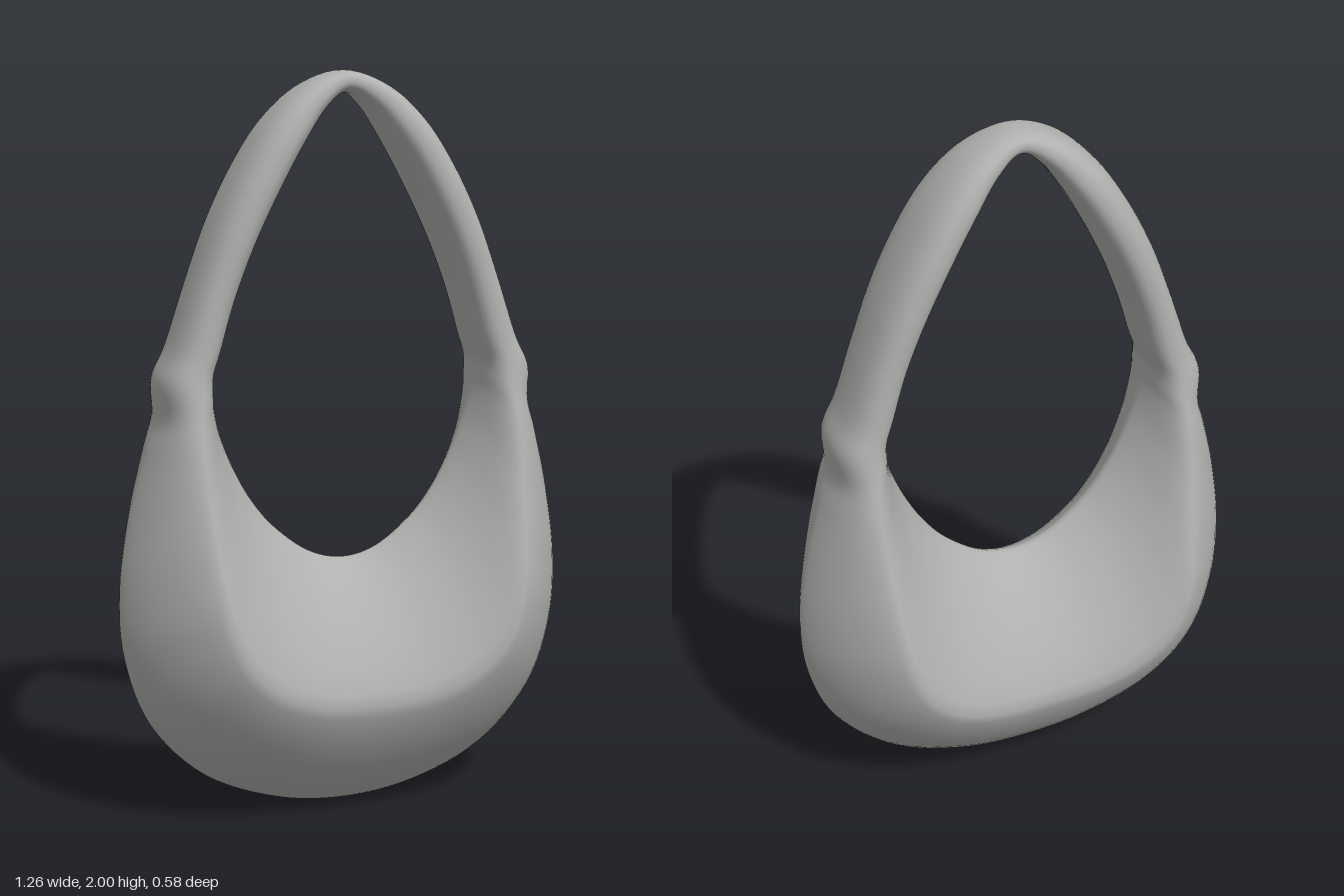
import * as THREE from 'three';

// Half of the bag, bottom centre to strap top:
// outer x, y, ridge x, y, half depth, inner x, y, roundness
const stations = [
  [0, 0.005, 0, 0.34, 0.27, 0, 0.69, 0],
  [0.2, 0.03, 0.15, 0.35, 0.275, 0.1, 0.715, 0],
  [0.4, 0.115, 0.28, 0.4, 0.285, 0.2, 0.79, 0],
  [0.55, 0.27, 0.37, 0.49, 0.29, 0.265, 0.87, 0],
  [0.62, 0.46, 0.42, 0.62, 0.275, 0.31, 0.95, 0],
  [0.63, 0.65, 0.44, 0.77, 0.235, 0.34, 1.02, 0.05],
  [0.6, 0.85, 0.45, 0.91, 0.195, 0.36, 1.08, 0.15],
  [0.555, 1.01, 0.455, 1.05, 0.16, 0.375, 1.14, 0.4],
  [0.525, 1.1, 0.45, 1.13, 0.14, 0.38, 1.18, 0.7],
  [0.525, 1.2, 0.445, 1.21, 0.125, 0.38, 1.22, 1],
  [0.485, 1.29, 0.42, 1.28, 0.118, 0.36, 1.28, 1],
  [0.43, 1.45, 0.375, 1.43, 0.116, 0.32, 1.41, 1],
  [0.37, 1.61, 0.315, 1.58, 0.12, 0.265, 1.55, 1],
  [0.3, 1.75, 0.245, 1.72, 0.12, 0.195, 1.69, 1],
  [0.22, 1.87, 0.17, 1.84, 0.11, 0.125, 1.81, 1],
  [0.12, 1.96, 0.09, 1.93, 0.085, 0.06, 1.9, 1],
  [0, 2, 0, 1.97, 0.062, 0, 1.94, 1],
];

// Closed guide curve through one part of every station and its mirror image
function guide(pick) {
  const half = stations.map((s) => new THREE.Vector3(...pick(s)));
  const mirrored = half.slice(1, -1).reverse().map((p) => new THREE.Vector3(-p.x, p.y, p.z));
  return new THREE.CatmullRomCurve3([...half, ...mirrored], true, 'catmullrom', 0.5);
}

// Ring of cross-sections: outer edge, front ridge, inner edge, back ridge
function bagGeometry(rings = 192, quarter = 12) {
  const outer = guide((s) => [s[0], s[1], s[7]]);
  const ridge = guide((s) => [s[2], s[3], s[4]]);
  const inner = guide((s) => [s[5], s[6], 0]);
  const sides = quarter * 4;
  const positions = [];
  const index = [];

  for (let i = 0; i < rings; i++) {
    const o = outer.getPoint(i / rings);
    const r = ridge.getPoint(i / rings);
    const n = inner.getPoint(i / rings);
    const round = THREE.MathUtils.clamp(o.z, 0, 1);
    const power = THREE.MathUtils.lerp(1.32, 2.4, round);

    for (let j = 0; j < sides; j++) {
      const angle = (j / sides) * Math.PI * 2;
      const c = Math.cos(angle);
      const edge = c > 0 ? o : n;
      const reach = Math.pow(Math.abs(c), 1.15);
      const depth = Math.pow(Math.max(0, 1 - Math.pow(reach, power)), 1 / power);
      positions.push(
        r.x + (edge.x - r.x) * reach,
        r.y + (edge.y - r.y) * reach,
        r.z * depth * (j % (sides / 2) === 0 ? 0 : Math.sign(Math.sin(angle))),
      );
      const i2 = (i + 1) % rings;
      const j2 = (j + 1) % sides;
      const a = i * sides + j, b = i2 * sides + j, d = i2 * sides + j2, e = i * sides + j2;
      index.push(a, b, d, a, d, e);
    }
  }

  const geometry = new THREE.BufferGeometry();
  geometry.setAttribute('position', new THREE.Float32BufferAttribute(positions, 3));
  geometry.setIndex(index);
  geometry.computeVertexNormals();
  return geometry;
}

export function createModel() {
  const group = new THREE.Group();
  group.name = 'shoulderBag';
  const leather = new THREE.MeshStandardMaterial({ color: 0xb0b0ae });
  leather.name = 'grey leather';

  // Body and strap are one continuous skin
  const bag = new THREE.Mesh(bagGeometry(), leather);
  bag.name = 'bagBodyAndStrap';
  group.add(bag);
  return group;
}
